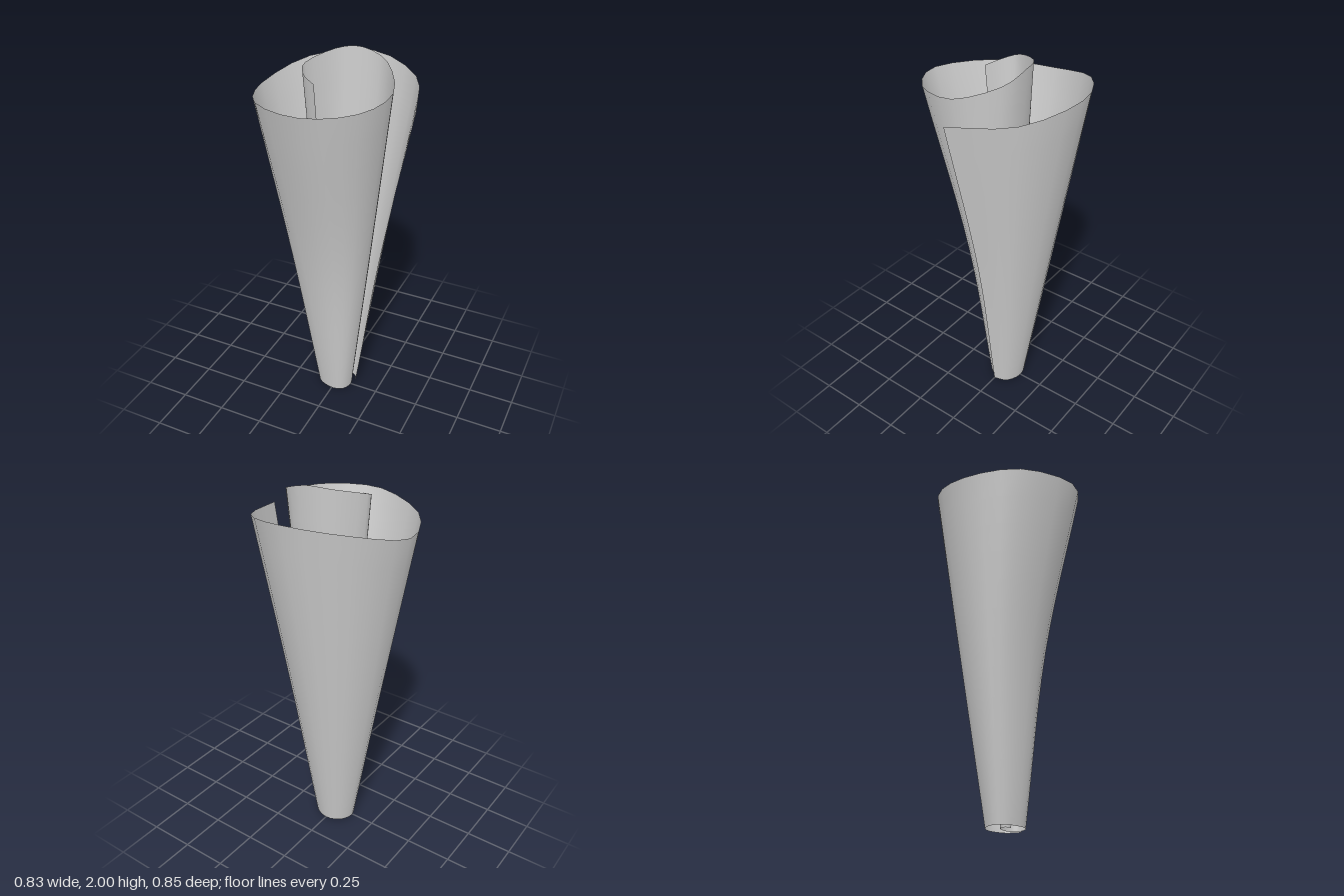
import * as THREE from 'three';

// Spiral sections, from the outer free edge inwards, one point per eighth of a turn.
// Base and waist are [x, z]; rim is [x, y, z].
const base = [[0.115, 0], [0.085, -0.075], [0, -0.11], [-0.08, -0.08], [-0.115, -0.005], [-0.075, 0.055],
  [0.01, 0.078], [0.068, 0.055], [0.09, 0], [0.075, -0.032], [0.03, -0.045], [-0.02, -0.033],
  [-0.04, 0], [-0.03, 0.018], [-0.007, 0.022]];
const waist = [[0.24, 0], [0.19, -0.17], [0, -0.26], [-0.19, -0.185], [-0.265, 0], [-0.18, 0.14],
  [0.01, 0.197], [0.15, 0.135], [0.195, 0.01], [0.145, -0.075], [0.045, -0.1], [-0.055, -0.07],
  [-0.1, 0.01], [-0.075, 0.055], [-0.03, 0.07]];
const rim = [[0.415, 1.8, 0.035], [0.295, 1.85, -0.285], [0.005, 1.9, -0.425], [-0.29, 1.87, -0.29],
  [-0.415, 1.8, -0.005], [-0.29, 1.815, 0.28], [0.015, 1.845, 0.422], [0.245, 1.86, 0.305],
  [0.313, 1.885, 0.07], [0.205, 1.955, -0.125], [0.06, 2, -0.16], [-0.06, 1.99, -0.115],
  [-0.155, 1.95, 0.03], [-0.12, 1.92, 0.11], [-0.045, 1.9, 0.158]];

const spline = (points) => new THREE.CatmullRomCurve3(points, false, 'catmullrom', 0.5);

export function createModel() {
  const top = spline(rim.map((p) => new THREE.Vector3(...p)));
  const middle = spline(waist.map(([x, z], i) => new THREE.Vector3(x, rim[i][1] / 2, z)));
  const bottom = spline(base.map(([x, z]) => new THREE.Vector3(x, 0, z)));

  // Rolled sheet: each column runs from base through waist to rim
  const columns = 42, rows = 12;
  const positions = [], indices = [];
  for (let i = 0; i <= columns; i++) {
    const t = i / columns;
    const column = spline([bottom.getPoint(t), middle.getPoint(t), top.getPoint(t)]);
    for (let j = 0; j <= rows; j++) {
      positions.push(...column.getPoint(j / rows).toArray());
      if (i < columns && j < rows) {
        const a = i * (rows + 1) + j, b = a + rows + 1;
        indices.push(a, b, b + 1, a, b + 1, a + 1);
      }
    }
  }
  const geometry = new THREE.BufferGeometry();
  geometry.setAttribute('position', new THREE.Float32BufferAttribute(positions, 3));
  // Winding is reversed so that the outer face is the front
  geometry.setIndex(indices.reverse());
  geometry.computeVertexNormals();

  const sheet = new THREE.Mesh(geometry,
    new THREE.MeshStandardMaterial({ color: 0xcccccc, side: THREE.DoubleSide }));
  sheet.name = 'rolledSheet';
  const group = new THREE.Group();
  group.name = 'rolledCone';
  group.add(sheet);
  return group;
}
